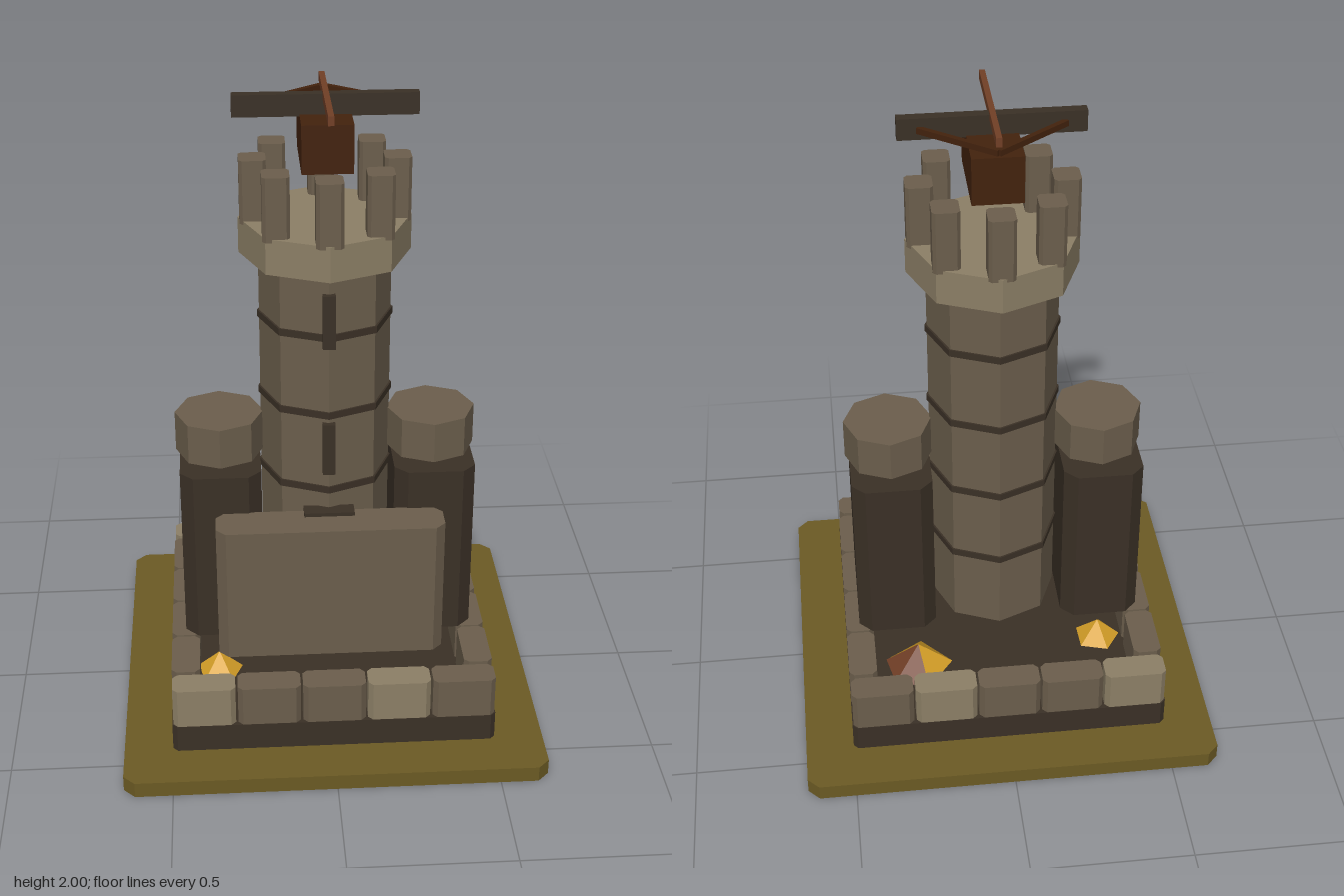
import * as THREE from 'three';

const mat = (name, color, extra = {}) => {
  const m = new THREE.MeshStandardMaterial({ color, ...extra });
  m.name = name;
  return m;
};

export function createModel() {
  const flat = { flatShading: true };
  const earth = mat('earth', 0x6b5a24, flat);
  const stone = mat('stone', 0x6b5e4c, flat);
  const paleStone = mat('pale stone', 0x8c7f66, flat);
  const darkStone = mat('dark stone', 0x3a3026, flat);
  const wood = mat('wood', 0x713f26, flat);
  const darkWood = mat('dark wood', 0x43220d, flat);
  const gold = mat('gold', 0xd6a028, { flatShading: true, side: THREE.DoubleSide });

  const root = new THREE.Group();
  root.name = 'watchtower';

  const add = (name, geometry, material, x, y, z) => {
    const mesh = new THREE.Mesh(geometry, material);
    mesh.name = name;
    mesh.position.set(x, y, z);
    root.add(mesh);
    return mesh;
  };

  // Upright block with cut vertical corners, standing on y = 0
  const cutBlock = (w, h, d, c) => {
    const a = w / 2, b = d / 2;
    const shape = new THREE.Shape([
      [a - c, -b], [a, -b + c], [a, b - c], [a - c, b],
      [-a + c, b], [-a, b - c], [-a, -b + c], [-a + c, -b],
    ].map(([x, y]) => new THREE.Vector2(x, y)));
    return new THREE.ExtrudeGeometry(shape, { depth: h, bevelEnabled: false }).rotateX(-Math.PI / 2);
  };
  // Eight-sided drum from height y0 to y1
  const drum = (name, r, y0, y1, material, x = 0) =>
    add(name, new THREE.CylinderGeometry(r, r, y1 - y0, 8), material, x, (y0 + y1) / 2, 0);
  const box = (name, w, h, d, material, x, y, z) =>
    add(name, new THREE.BoxGeometry(w, h, d), material, x, y, z);

  // Ground and plinth
  add('ground', cutBlock(1.3, 0.05, 1.3, 0.035), earth, 0, 0, 0);
  add('plinth', cutBlock(1, 0.09, 1, 0.015), darkStone, 0, 0.05, 0);

  // Low wall of blocks around the plinth
  const longBlock = cutBlock(0.193, 0.13, 0.088, 0.015);
  const sideBlock = cutBlock(0.088, 0.13, 0.193, 0.015);
  for (const s of [-1, 1]) {
    for (let i = 0; i < 5; i++) {
      add('wallBlock', longBlock, i % 3 === 0 ? paleStone : stone, -0.4 + i * 0.2, 0.14, s * 0.455);
    }
    for (let i = 0; i < 4; i++) {
      add('wallBlock', sideBlock, stone, s * 0.455, 0.14, -0.3 + i * 0.2);
    }
  }

  // Gate wall with the door behind it
  add('gateWall', cutBlock(0.7, 0.445, 0.13, 0.03), stone, 0, 0.27, 0.26);
  box('door', 0.155, 0.28, 0.05, darkStone, 0, 0.587, 0.21);

  // Side towers with eight-sided caps
  for (const s of [-1, 1]) {
    add('sideTower', cutBlock(0.25, 0.57, 0.4, 0.04), darkStone, s * 0.33, 0.27, 0);
    drum('sideTowerCap', 0.138, 0.84, 0.97, stone, s * 0.33);
  }

  // Main tower, bands and arrow slits
  drum('mainTower', 0.2, 0.27, 1.5, stone);
  for (let i = 0; i < 4; i++) {
    const y = 0.535 + i * 0.255;
    drum('band', 0.206, y - 0.011, y + 0.011, darkStone);
  }
  for (const y of [0.935, 1.355]) box('arrowSlit', 0.038, 0.17, 0.03, darkStone, 0, y, 0.2);

  // Crown and its ring of merlons
  drum('crown', 0.258, 1.5, 1.61, paleStone);
  const merlon = cutBlock(0.08, 0.195, 0.08, 0.01);
  for (let i = 0; i < 8; i++) {
    const a = (i * Math.PI) / 4;
    add('merlon', merlon, stone, 0.213 * Math.sin(a), 1.6, 0.213 * Math.cos(a));
  }

  // Giant crossbow: body, bow, bolt and string
  box('crossbowBody', 0.15, 0.145, 0.275, darkWood, 0, 1.857, 0);
  box('bow', 0.54, 0.065, 0.032, darkStone, 0, 1.957, 0.02);
  box('bolt', 0.017, 0.028, 0.435, wood, 0, 1.986, 0.06);
  for (const s of [-1, 1]) {
    const dx = s * 0.21, dz = 0.16;
    const string = box('bowString', 0.016, 0.018, Math.hypot(dx, dz), darkWood, dx / 2, 1.955, -0.155 + dz / 2);
    string.rotation.y = Math.atan2(dx, dz);
  }

  // Faceted gold heaps, the largest with a brown side
  const heap = (name, r, h, sides, material, x, z, start, sweep) =>
    add(name, new THREE.ConeGeometry(r, h, sides, 1, true, THREE.MathUtils.degToRad(start),
      THREE.MathUtils.degToRad(sweep)), material, x, 0.14 + h / 2, z);
  heap('goldHeap', 0.11, 0.09, 3, gold, 0.27, -0.237, 193, 239);
  heap('brownHeapSide', 0.11, 0.09, 2, wood, 0.27, -0.237, 72, 121);
  heap('goldHeap', 0.075, 0.07, 5, gold, -0.33, -0.165, 200, 360);
  heap('goldHeap', 0.075, 0.07, 5, gold, -0.35, 0.205, 320, 360);

  return root;
}
